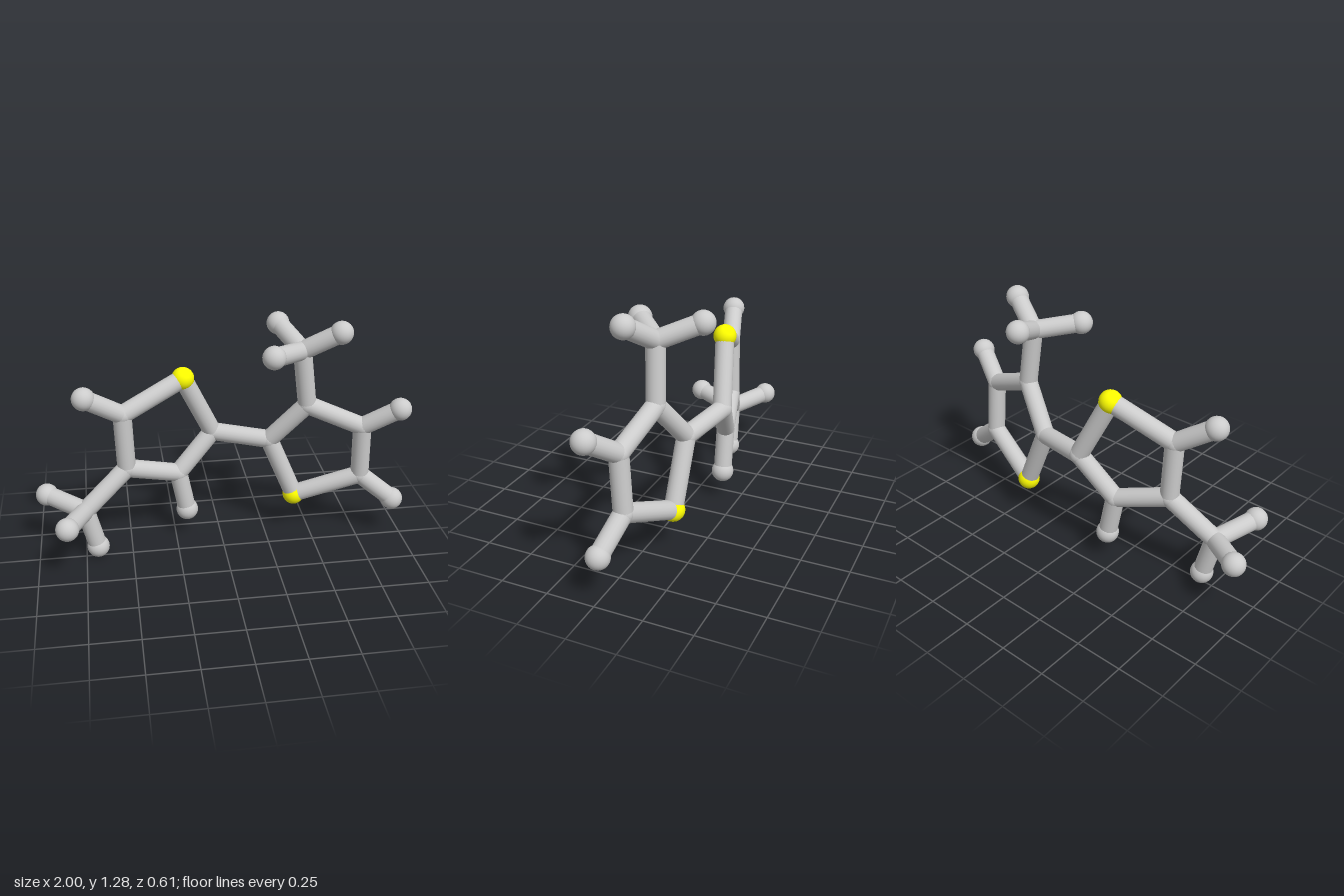
import * as THREE from 'three';

const BOND_R = 0.049, JOINT_R = 0.051, BALL_R = 0.06;

// Joint centres, grouped by kind
const joints = {
  // left ring and its side branch
  a1: [-0.035, 0.61, -0.205], a2: [-0.23, 0.40, -0.15], a3: [-0.51, 0.49, -0.07],
  a4: [-0.52, 0.805, -0.06], aBranch: [-0.74, 0.295, 0.01],
  // right ring and its side branch
  b1: [0.265, 0.575, -0.135], b2: [0.45, 0.8, -0.06], b3: [0.745, 0.675, -0.015],
  b4: [0.755, 0.375, -0.035], bBranch: [0.41, 1.11, -0.045],
};
const yellowBalls = { aYellow: [-0.195, 0.95, -0.15], bYellow: [0.41, 0.23, -0.13] };
const endBalls = {
  aEnd2: [-0.185, 0.165, -0.155], aEnd4: [-0.71, 0.93, 0],
  aTip1: [-0.94, 0.33, -0.13], aTip2: [-0.83, 0.33, 0.245], aTip3: [-0.685, 0.065, 0],
  bEnd3: [0.92, 0.797, 0.06], bEnd4: [0.935, 0.232, 0.005],
  bTip1: [0.32, 1.195, -0.245], bTip2: [0.23, 1.145, 0.125], bTip3: [0.59, 1.222, 0.028],
};

const rods = [
  ['a1', 'b1'],
  ['a1', 'a2'], ['a2', 'a3'], ['a3', 'a4'], ['a4', 'aYellow'], ['aYellow', 'a1'],
  ['a2', 'aEnd2'], ['a4', 'aEnd4'], ['a3', 'aBranch'],
  ['aBranch', 'aTip1'], ['aBranch', 'aTip2'], ['aBranch', 'aTip3'],
  ['b1', 'b2'], ['b2', 'b3'], ['b3', 'b4'], ['b4', 'bYellow'], ['bYellow', 'b1'],
  ['b3', 'bEnd3'], ['b4', 'bEnd4'], ['b2', 'bBranch'],
  ['bBranch', 'bTip1'], ['bBranch', 'bTip2'], ['bBranch', 'bTip3'],
];

export function createModel() {
  const model = new THREE.Group();
  const grey = new THREE.MeshStandardMaterial({ color: 0xcccccc });
  const yellow = new THREE.MeshStandardMaterial({ color: 0xffff00 });
  const points = {};

  function addBalls(name, centres, radius, material) {
    const group = new THREE.Group();
    group.name = name;
    const geometry = new THREE.SphereGeometry(radius, 24, 16);
    for (const [key, centre] of Object.entries(centres)) {
      const ball = new THREE.Mesh(geometry, material);
      ball.name = name + '_' + key;
      ball.position.set(...centre);
      points[key] = ball.position;
      group.add(ball);
    }
    model.add(group);
  }

  addBalls('ringJoint', joints, JOINT_R, grey);
  addBalls('yellowBall', yellowBalls, BALL_R, yellow);
  addBalls('endBall', endBalls, BALL_R, grey);

  // Rods joining the balls
  const rodGroup = new THREE.Group();
  rodGroup.name = 'rods';
  const up = new THREE.Vector3(0, 1, 0);
  for (const [from, to] of rods) {
    const direction = points[to].clone().sub(points[from]);
    const length = direction.length();
    const rod = new THREE.Mesh(new THREE.CylinderGeometry(BOND_R, BOND_R, length, 20), grey);
    rod.name = 'rod_' + from + '_' + to;
    rod.position.copy(points[from]).add(points[to]).multiplyScalar(0.5);
    rod.quaternion.setFromUnitVectors(up, direction.normalize());
    rodGroup.add(rod);
  }
  model.add(rodGroup);
  return model;
}
